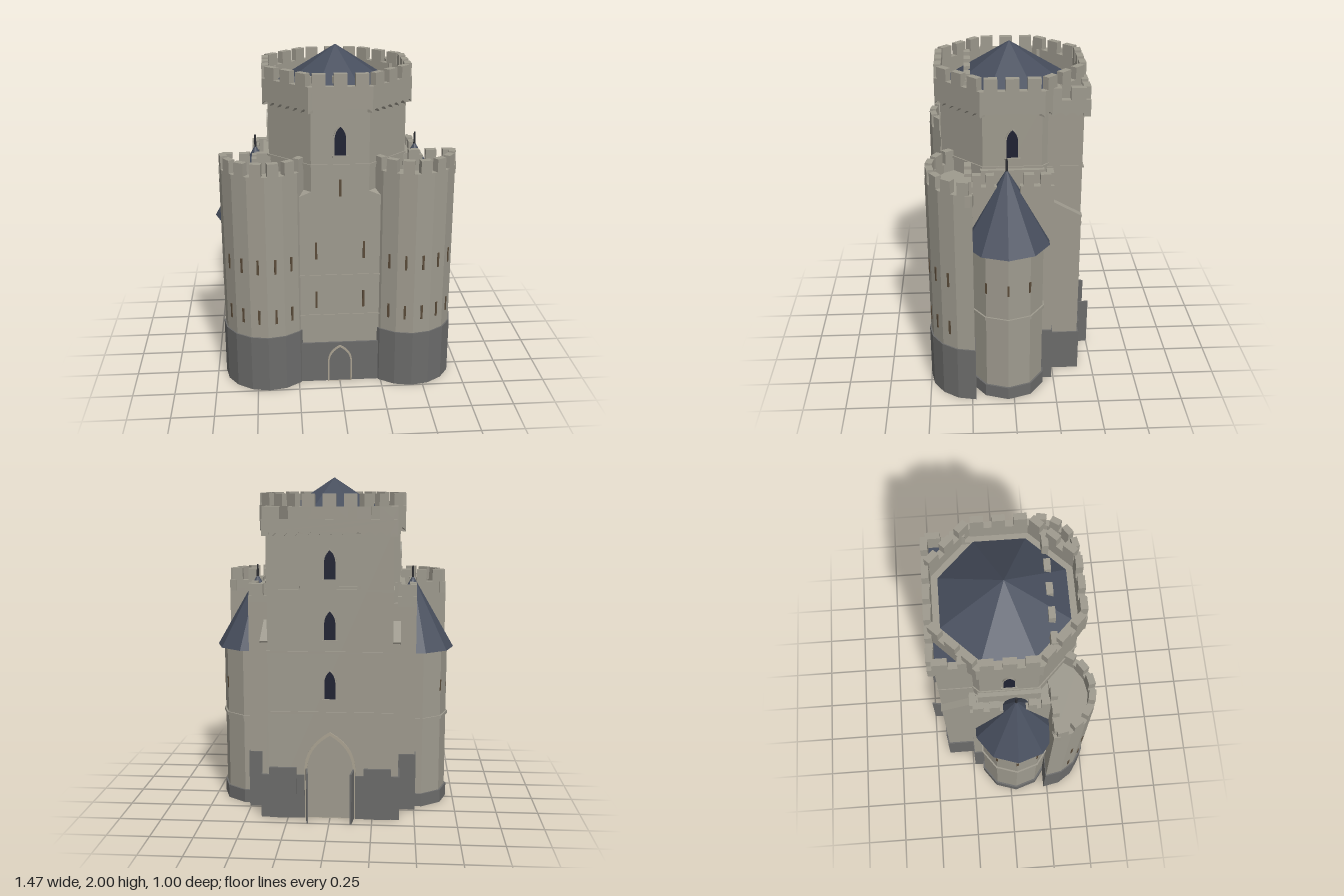
import * as THREE from 'three';
import { ConvexGeometry } from 'three/addons/geometries/ConvexGeometry.js';

const material = (name, color) => {
  const m = new THREE.MeshStandardMaterial({ color });
  m.name = name;
  return m;
};

export function createModel() {
  const stone = material('stone', 0x9e9a8e);
  const plinth = material('plinth stone', 0x6b6b6a);
  const slate = material('roof slate', 0x474e5d);
  const glass = material('window dark', 0x1f2233);
  const slitBrown = material('slit brown', 0x5a4b39);
  const trim = material('arch trim', 0xaaa291);
  const iron = material('iron', 0x2c2d31);
  const model = new THREE.Group();
  model.name = 'castleKeep';

  const add = (name, geo, mat, x = 0, y = 0, z = 0, turn = 0) => {
    const mesh = new THREE.Mesh(geo, mat);
    mesh.name = name;
    mesh.position.set(x, y, z);
    mesh.rotation.y = turn;
    model.add(mesh);
    return mesh;
  };
  // box given by its limits
  const block = (name, mat, x0, x1, y0, y1, z0, z1) =>
    add(name, new THREE.BoxGeometry(x1 - x0, y1 - y0, z1 - z0), mat,
      (x0 + x1) / 2, (y0 + y1) / 2, (z0 + z1) / 2);
  // faceted upright cylinder or cone standing on y0
  const drum = (name, mat, rTop, rBottom, y0, y1, sides, x = 0, z = 0, turn = 0) => {
    const g = new THREE.CylinderGeometry(rTop, rBottom, y1 - y0, sides).toNonIndexed();
    g.computeVertexNormals();
    return add(name, g, mat, x, (y0 + y1) / 2, z, turn);
  };
  const extrude = (shape, depth) =>
    new THREE.ExtrudeGeometry(shape, { depth, bevelEnabled: false, curveSegments: 6 });

  // crenellated wall, outer face on local z = 0, with optional scalloped foot
  const battlement = (len, y0, yGap, yTop, merlons, scallops = 0, thick = 0.04) => {
    const s = new THREE.Shape();
    const step = len / merlons;
    s.moveTo(-len / 2, y0);
    s.lineTo(-len / 2, yGap);
    for (let i = 0; i < merlons; i++) {
      const a = -len / 2 + (i + 0.19) * step, b = a + step * 0.62;
      s.lineTo(a, yGap); s.lineTo(a, yTop); s.lineTo(b, yTop); s.lineTo(b, yGap);
    }
    s.lineTo(len / 2, yGap);
    s.lineTo(len / 2, y0);
    for (let i = 0; i < scallops; i++) {
      const w = len / scallops, x = len / 2 - i * w;
      s.quadraticCurveTo(x - w / 2, y0 + 0.045, x - w, y0);
    }
    return extrude(s, thick).translate(0, 0, -thick);
  };

  // pointed arch outline, half width w and height h
  const archPath = (P, w, h, spring = 0.6) => {
    const s = new P();
    s.moveTo(-w, 0);
    s.lineTo(w, 0);
    s.lineTo(w, h * spring);
    s.quadraticCurveTo(w * 0.95, h * 0.85, 0, h);
    s.quadraticCurveTo(-w * 0.95, h * 0.85, -w, h * spring);
    s.closePath();
    return s;
  };
  const archFrame = (w, h, t) => {
    const s = archPath(THREE.Shape, w, h);
    s.holes.push(archPath(THREE.Path, w - t, h - t * 1.4));
    return extrude(s, 0.009);
  };
  const archWindow = (dist, y, turn) => {
    const sx = Math.sin(turn), cz = Math.cos(turn);
    add('windowPane', extrude(archPath(THREE.Shape, 0.032, 0.165), 0.006), glass, sx * dist, y, cz * dist, turn);
    add('windowFrame', archFrame(0.038, 0.176, 0.006), stone, sx * dist, y - 0.002, cz * dist, turn);
    add('windowSill', new THREE.BoxGeometry(0.09, 0.012, 0.024), stone, sx * dist, y - 0.008, cz * dist, turn);
  };
  const slit = (x, y, z, turn = 0, h = 0.09) =>
    add('arrowSlit', new THREE.BoxGeometry(0.013, h, 0.008), slitBrown, x, y, z, turn);

  // main keep: square below, octagon above
  const c = Math.cos(Math.PI / 8), t8 = Math.tan(Math.PI / 8);
  block('keepBody', stone, -0.4, 0.4, 0, 1.14, -0.22, 0.4);
  drum('keepOctagon', stone, 0.4 / c, 0.4 / c, 1.1, 1.75, 8, 0, 0, Math.PI / 8);
  drum('keepStringCourse', stone, 0.407 / c, 0.407 / c, 1.378, 1.392, 8, 0, 0, Math.PI / 8);
  drum('keepRoof', slate, 0, 0.352 / c, 1.76, 2, 8, 0, 0, Math.PI / 8);
  for (let i = 0; i < 8; i++) {
    const a = i * Math.PI / 4;
    add('keepParapet', battlement(0.86 * t8, 1.69, 1.84, 1.91, 3, 6), stone,
      0.43 * Math.sin(a), 0, 0.43 * Math.cos(a), a);
  }
  for (let i = -2; i <= 2; i++)
    block('roofMerlon', stone, i * 0.14 - 0.034, i * 0.14 + 0.034, 1.72, 1.86, 0.225, 0.262);

  // rear square block of the keep
  block('rearBlock', stone, -0.365, 0.365, 0, 1.72, -0.4, 0);
  block('rearRoof', slate, -0.35, 0.35, 1.72, 1.735, -0.395, -0.1);
  add('rearParapet', battlement(0.77, 1.675, 1.77, 1.84, 6, 12), stone, 0, 0, -0.434, Math.PI);
  for (const s of [-1, 1])
    add('rearSideParapet', battlement(0.27, 1.675, 1.77, 1.84, 2, 4), stone, s * 0.385, 0, -0.297, s * Math.PI / 2);
  for (const y of [0.64, 1.0, 1.36])
    block('rearStringCourse', stone, -0.37, 0.37, y, y + 0.012, -0.408, -0.2);
  for (const y of [0.73, 1.08, 1.43]) archWindow(0.4, y, Math.PI);
  archWindow(0.4, 1.445, 0);
  archWindow(0.4, 1.445, Math.PI / 2);
  archWindow(0.4, 1.445, -Math.PI / 2);

  // front wall details and gate
  block('frontPlinth', plinth, -0.27, 0.27, 0, 0.262, 0.36, 0.411);
  add('frontGateFrame', archFrame(0.073, 0.245, 0.009), trim, 0, 0, 0.409);
  for (const y of [0.44, 0.7]) block('frontStringCourse', stone, -0.25, 0.25, y, y + 0.01, 0.39, 0.405);
  for (const x of [-0.14, 0.14]) for (const y of [0.55, 0.865]) slit(x, y, 0.402, 0, 0.105);
  slit(0, 1.25, 0.402, 0, 0.1);

  // rear gate
  add('rearGateFrame', archFrame(0.15, 0.53, 0.014), trim, 0, 0, -0.4, Math.PI);

  for (const s of [-1, 1]) {
    const span = (name, mat, x0, x1, ...rest) =>
      block(name, mat, Math.min(s * x0, s * x1), Math.max(s * x0, s * x1), ...rest);

    // sloped corner where the square turns octagonal
    const k = 0.4 * t8;
    add('cornerBroach', new ConvexGeometry([
      [0.4, 1.13, 0.4], [k, 1.13, 0.4], [0.4, 1.13, k], [k, 1.23, 0.4], [0.4, 1.23, k],
    ].map(p => new THREE.Vector3(s * p[0], p[1], p[2]))), stone);

    // rear plinth and gate fins
    span('rearPlinth', plinth, 0.15, 0.41, 0, 0.265, -0.411, -0.2);
    span('rearPlinthPlate', plinth, 0.2, 0.36, 0, 0.31, -0.418, -0.39);
    add('gateFin', new THREE.BoxGeometry(0.01, 0.305, 0.1), plinth, s * 0.133, 0.1525, -0.452, s * 0.13);

    // rear buttress with sloping cap
    const slope = new THREE.Shape();
    [[-0.2, 0], [0.4, 0], [0.4, 1.06], [0.22, 1.16], [-0.2, 1.16]].forEach(
      ([z, y], i) => (i ? slope.lineTo(z, y) : slope.moveTo(z, y)));
    add('rearButtress', extrude(slope, 0.06).rotateY(Math.PI / 2), stone, s > 0 ? 0.342 : -0.402, 0, 0);
    const cap = add('buttressCap', new THREE.BoxGeometry(0.045, 0.014, 0.21), stone, s * 0.385, 1.115, -0.31);
    cap.rotation.x = -Math.atan2(0.1, 0.18);

    // side block behind the round turret
    span('sideBlock', stone, 0.34, 0.5, 0, 1.27, -0.23, 0.26);
    span('sidePlinth', plinth, 0.36, 0.508, 0, 0.35, -0.237, -0.1);
    add('sideParapet', battlement(0.19, 1.25, 1.31, 1.38, 2), stone, s * 0.5, 0, -0.135, s * Math.PI / 2);
    add('sideParapet', battlement(0.15, 1.25, 1.31, 1.38, 2), stone, s * 0.5, 0, 0.165, s * Math.PI / 2);
    add('sideRearParapet', battlement(0.11, 1.25, 1.31, 1.38, 1), stone, s * 0.445, 0, -0.23, Math.PI);
    span('innerWall', stone, 0.39, 0.432, 1.2, 1.38, -0.18, 0.18);

    // round side turret
    const tx = s * 0.48, tz = 0.035, turn = Math.PI / 10;
    drum('turretBody', stone, 0.217, 0.217, 0, 0.98, 10, tx, tz, turn);
    drum('turretRing', stone, 0.227, 0.227, 0.54, 0.56, 10, tx, tz, turn);
    drum('turretPlinth', plinth, 0.228, 0.228, 0, 0.08, 10, tx, tz, turn);
    drum('turretRoof', slate, 0, 0.255, 0.97, 1.41, 10, tx, tz, turn);
    drum('turretFinial', iron, 0.006, 0.008, 1.38, 1.47, 6, tx, tz);
    for (const a of [-0.62, 0, 0.62]) {
      const d = 0.213, dir = s * (Math.PI / 2 + a);
      slit(tx + d * Math.sin(dir), 0.75, tz + d * Math.cos(dir), dir, 0.07);
    }

    // half-round front tower
    const cx = s * 0.43, cz = 0.23, r = 0.262;
    const halfRound = (radius, height, back) => {
      const p = new THREE.Shape();
      p.moveTo(radius, back);
      for (let i = 0; i <= 8; i++)
        p.lineTo(radius * Math.cos(i * Math.PI / 8), -radius * Math.sin(i * Math.PI / 8));
      p.lineTo(-radius, back);
      return extrude(p, height).rotateX(-Math.PI / 2);
    };
    add('frontTower', halfRound(r, 1.3, 0), stone, cx, 0, cz);
    add('frontTowerPlinth', halfRound(r + 0.008, 0.352, 0.004), plinth, cx, 0, cz);
    const seg = 2 * r * Math.sin(Math.PI / 16), ap = r * Math.cos(Math.PI / 16);
    for (let i = 0; i < 8; i++) {
      const a = (i - 3.5) * Math.PI / 8;
      const px = cx + ap * Math.sin(a), pz = cz + ap * Math.cos(a);
      add('frontTowerParapet', battlement(seg, 1.28, 1.35, 1.425, 1), stone, px, 0, pz, a);
      if (i > 0 && i < 7) for (const y of [0.485, 0.805]) slit(px, y, pz, a);
    }
    add('frontTowerRearParapet', battlement(0.3, 1.28, 1.35, 1.425, 3), stone, s * 0.54, 0, 0.23, Math.PI);
  }
  return model;
}
